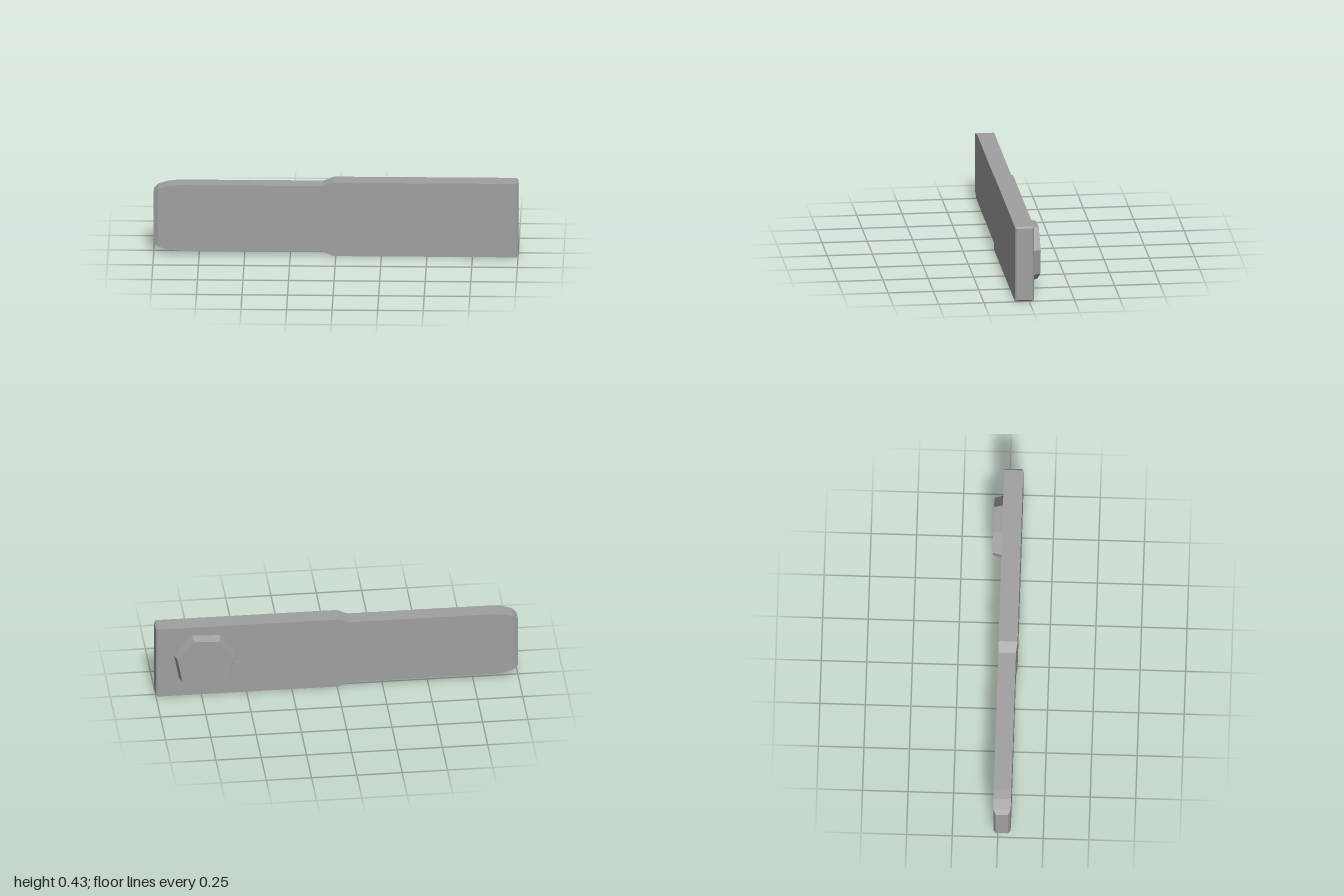
import * as THREE from 'three';

const MID_Y = 0.2125;

// Joins rectangular cross-sections [x, halfHeight, backZ, frontZ] along x, with closed ends
function loft(sections) {
  const points = [];
  const index = [];
  for (const [x, h, back, front] of sections) {
    points.push(x, MID_Y - h, front, x, MID_Y - h, back, x, MID_Y + h, back, x, MID_Y + h, front);
  }
  for (let i = 0; i < sections.length - 1; i++) {
    for (let j = 0; j < 4; j++) {
      const k = (j + 1) % 4;
      const a = i * 4;
      const b = a + 4;
      index.push(a + j, a + k, b + k, a + j, b + k, b + j);
    }
  }
  const e = (sections.length - 1) * 4;
  index.push(0, 2, 1, 0, 3, 2, e, e + 1, e + 2, e, e + 2, e + 3);
  const geometry = new THREE.BufferGeometry();
  geometry.setAttribute('position', new THREE.Float32BufferAttribute(points, 3));
  geometry.setIndex(index);
  const flat = geometry.toNonIndexed();
  flat.computeVertexNormals();
  return flat;
}

export function createModel() {
  const group = new THREE.Group();
  const grey = new THREE.MeshStandardMaterial({ color: 0xa0a0a0, flatShading: true });
  grey.name = 'grey metal';

  // Flat bar: rounded tip, narrow half, shoulder, wide half, bevelled end
  const bar = new THREE.Mesh(loft([
    [-1.0, 0.145, -0.012, 0.056],
    [-0.975, 0.167, -0.025, 0.07],
    [-0.92, 0.184, -0.026, 0.071],
    [-0.865, 0.19, -0.026, 0.071],
    [-0.07, 0.19, -0.026, 0.071],
    [-0.01, 0.2125, -0.027, 0.078],
    [0.99, 0.2125, -0.027, 0.078],
    [1.0, 0.204, -0.019, 0.07],
  ]), grey);
  bar.name = 'bar';
  group.add(bar);

  // Seven-sided tapered stud on the back
  const studGeometry = new THREE.CylinderGeometry(0.162, 0.177, 0.05, 7);
  studGeometry.rotateX(-Math.PI / 2);
  studGeometry.rotateZ(THREE.MathUtils.degToRad(-23.5));
  const stud = new THREE.Mesh(studGeometry, grey);
  stud.name = 'backStud';
  stud.position.set(0.73, MID_Y, -0.052);
  group.add(stud);

  return group;
}
